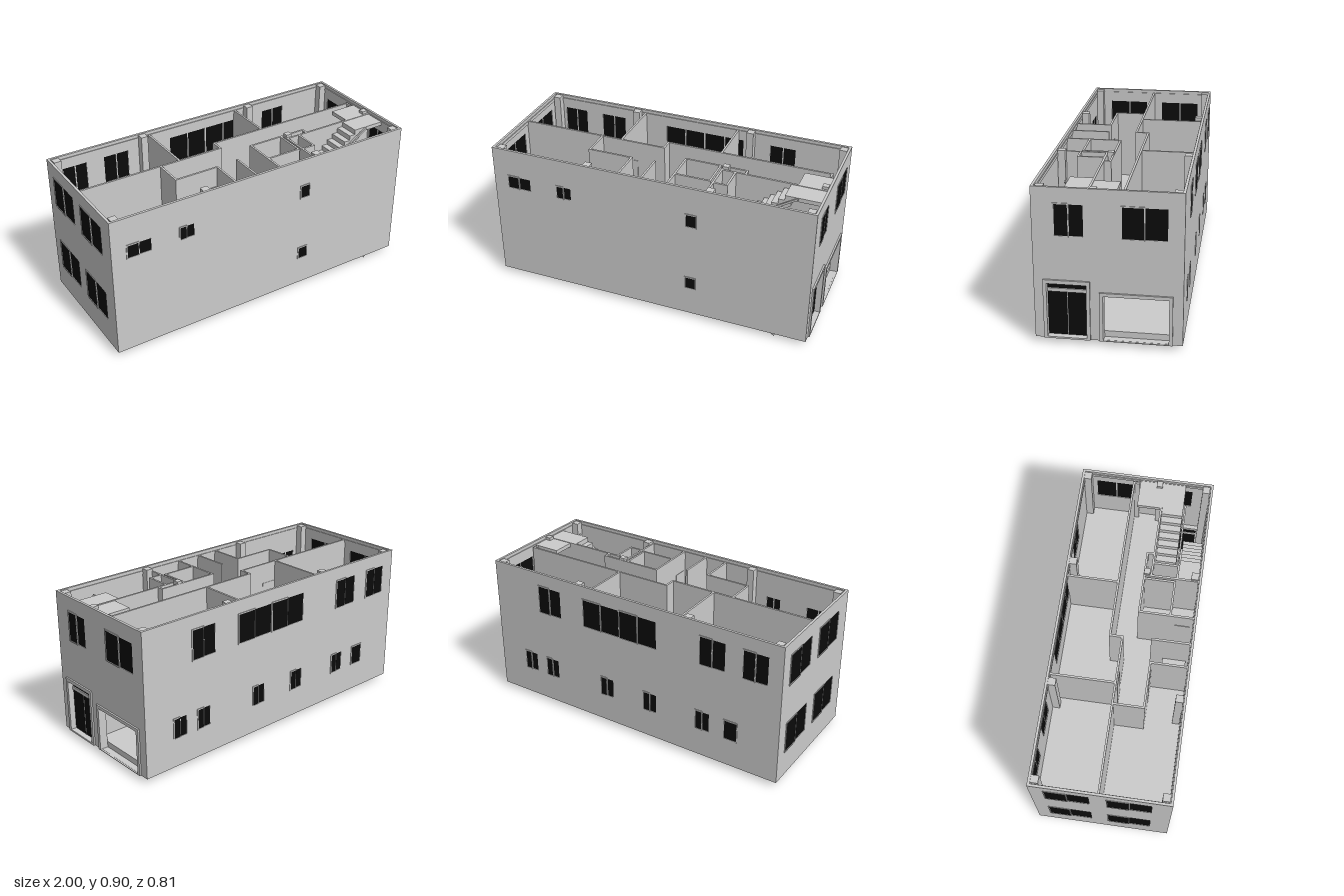
import * as THREE from 'three';

const grey = new THREE.MeshStandardMaterial({ color: 0xcccccc });
const black = new THREE.MeshStandardMaterial({ color: 0x0b0b0b });
const T = 0.015; // outer wall thickness
const BASE = 0.03, TOP = 0.905, FLOOR2 = 0.46;

// box from its minimum and maximum corners
function box(parent, name, x0, x1, y0, y1, z0, z1, mat = grey) {
  const m = new THREE.Mesh(new THREE.BoxGeometry(x1 - x0, y1 - y0, z1 - z0), mat);
  m.position.set((x0 + x1) / 2, (y0 + y1) / 2, (z0 + z1) / 2);
  m.name = name;
  parent.add(m);
  return m;
}

function rect(target, x0, x1, y0, y1) {
  target.moveTo(x0, y0);
  target.lineTo(x1, y0);
  target.lineTo(x1, y1);
  target.lineTo(x0, y1);
  target.closePath();
  return target;
}

// flat panel with rectangular holes, extruded from z0 to z0 + depth
function panel(parent, name, outer, holes, depth, z0) {
  const s = rect(new THREE.Shape(), ...outer);
  holes.forEach(h => s.holes.push(rect(new THREE.Path(), ...h)));
  const m = new THREE.Mesh(new THREE.ExtrudeGeometry(s, { depth, bevelEnabled: false }), grey);
  m.position.z = z0;
  m.name = name;
  parent.add(m);
}

// sliding window: dark panes, with a raised sash on every other one
function windowUnit(parent, [u0, u1, y0, y1, panes = 2]) {
  const g = new THREE.Group();
  g.name = 'window';
  const w = (u1 - u0) / panes, f = 0.007;
  for (let i = 0; i < panes; i++) {
    const a = u0 + i * w, b = a + w, raised = i % 2 === 0;
    const inner = [a + (raised ? f : f / 2), b - f / 2, y0 + f, y1 - f];
    const front = raised ? 0.004 : 0;
    panel(g, 'sash', [a, b, y0, y1], [inner], T + front, -T);
    box(g, 'pane', inner[0], inner[1], inner[2], inner[3], -0.011, front - 0.003, black);
  }
  parent.add(g);
}

// outer wall drawn in its own plane, outside facing local +z
function wall(parent, name, u0, u1, windows, openings, place) {
  const g = new THREE.Group();
  g.name = name;
  panel(g, 'wallPanel', [u0, u1, BASE, TOP], [...windows, ...openings], T, -T);
  windows.forEach(w => windowUnit(g, w));
  g.position.set(place[0], 0, place[1]);
  g.rotation.y = place[2];
  parent.add(g);
  return g;
}

// stepped flight with a sloping underside, climbing from xa to xb
function flight(parent, xa, xb, y0, rise, n, z0, z1) {
  const run = (xb - xa) / n, s = new THREE.Shape();
  s.moveTo(xa, y0);
  for (let i = 0; i < n; i++) {
    s.lineTo(xa + i * run, y0 + (i + 1) * rise);
    s.lineTo(xa + (i + 1) * run, y0 + (i + 1) * rise);
  }
  s.lineTo(xb, y0 + n * rise - rise - 0.03);
  s.lineTo(xa + run * 0.1, y0 - 0.03);
  s.closePath();
  const m = new THREE.Mesh(new THREE.ExtrudeGeometry(s, { depth: z1 - z0, bevelEnabled: false }), grey);
  m.position.z = z0;
  m.name = 'stairFlight';
  parent.add(m);
}

// sloping handrail in the gap between the flights
function rail(parent, xa, ya, xb, yb) {
  const m = new THREE.Mesh(new THREE.BoxGeometry(Math.hypot(xb - xa, yb - ya), 0.012, 0.01), grey);
  m.position.set((xa + xb) / 2, (ya + yb) / 2, 0.252);
  m.rotation.z = Math.atan2(yb - ya, xb - xa);
  m.name = 'handrail';
  parent.add(m);
}

export function createModel() {
  const house = new THREE.Group();
  house.name = 'house';

  // outer walls and their windows: [u0, u1, y0, y1, panes]
  wall(house, 'frontWall', -1, 0.99, [
    [-0.91, -0.755, 0.645, 0.735], [-0.585, -0.485, 0.645, 0.735],
    [0.235, 0.305, 0.645, 0.735, 1], [0.235, 0.305, 0.21, 0.295, 1],
  ], [], [0, 0.405, 0]);

  const backWindows = [[-0.66, -0.49, 0.637, 0.825], [-0.325, 0.198, 0.637, 0.825, 4],
    [0.48, 0.65, 0.637, 0.825], [0.755, 0.915, 0.637, 0.825]];
  for (const u of [-0.8, -0.63, -0.21, 0.1, 0.46]) backWindows.push([u, u + 0.098, 0.203, 0.335]);
  backWindows.push([0.65, 0.74, 0.203, 0.335, 1]);
  wall(house, 'backWall', -0.99, 1, backWindows, [], [0, -0.4, Math.PI]);

  wall(house, 'leftEndWall', -0.385, 0.39, [
    [-0.32, -0.06, 0.63, 0.825], [0.035, 0.295, 0.63, 0.825],
    [-0.32, -0.06, 0.19, 0.39], [0.035, 0.295, 0.19, 0.39],
  ], [], [-1, 0, -Math.PI / 2]).name = 'farEndWall';

  const entry = wall(house, 'entranceWall', -0.39, 0.385,
    [[-0.29, -0.127, 0.63, 0.82], [0.068, 0.316, 0.63, 0.82]],
    [[-0.345, -0.11, 0.035, 0.37], [-0.04, 0.335, 0.035, 0.31]], [0.99, 0, Math.PI / 2]);

  // entrance door and garage surrounds, slightly proud of the wall
  panel(entry, 'doorSurround', [-0.355, -0.1, BASE, 0.38], [[-0.335, -0.12, 0.04, 0.358]], 0.05, -0.04);
  panel(entry, 'garageSurround', [-0.05, 0.345, BASE, 0.32], [[-0.03, 0.325, 0.034, 0.3]], 0.05, -0.04);
  box(entry, 'doorLeaf', -0.335, -0.2285, 0.04, 0.3, -0.035, -0.025, black);
  box(entry, 'doorLeaf', -0.2255, -0.12, 0.04, 0.3, -0.035, -0.025, black);
  box(entry, 'doorMeetingStile', -0.2285, -0.2255, 0.04, 0.3, -0.035, -0.022);
  box(entry, 'doorRail', -0.335, -0.12, 0.3, 0.32, -0.038, -0.018);
  box(entry, 'transomPane', -0.335, -0.12, 0.32, 0.358, -0.035, -0.025, black);

  // ground slab, and upper floor around the stairwell
  box(house, 'groundSlab', -0.999, 0.989, BASE, 0.034, -0.399, 0.404);
  box(house, 'groundFloor', -0.985, 0.95, 0.034, 0.07, -0.385, 0.39);
  box(house, 'upperFloor', -0.985, 0.975, 0.435, FLOOR2, -0.385, 0.105);
  box(house, 'upperFloor', -0.985, 0.43, 0.435, FLOOR2, 0.105, 0.39);

  // columns
  const cols = [[0.953, 0.08], [0.365, 0.08]];
  for (const x of [-0.955, -0.39, 0.37, 0.95]) for (const z of [-0.363, 0.365]) cols.push([x, z]);
  for (const [x, z] of cols) {
    const r = z === 0.08 ? 0.018 : 0.022;
    box(house, 'column', x - r, x + r, 0.07, 0.9, z - r, z + r);
  }

  // perimeter ring beam just below the wall tops
  box(house, 'ringBeam', -0.985, 0.975, 0.865, 0.885, -0.385, -0.38);
  box(house, 'ringBeam', -0.985, 0.975, 0.865, 0.885, 0.385, 0.39);
  box(house, 'ringBeam', -0.985, -0.98, 0.865, 0.885, -0.38, 0.385);
  box(house, 'ringBeam', 0.97, 0.975, 0.865, 0.885, -0.38, 0.385);

  // upper floor partitions: centre lines [xa, za, xb, zb]
  const partitions = [
    [-0.985, -0.007, -0.06, -0.007], [-0.34, -0.385, -0.34, -0.007], [-0.06, -0.08, -0.06, -0.007],
    [-0.06, -0.08, 0.95, -0.08], [0.28, -0.385, 0.28, -0.08], [0.95, -0.08, 0.95, -0.05],
    [-0.465, -0.007, -0.465, 0.173], [-0.465, 0.173, -0.193, 0.173], [-0.193, 0.173, -0.193, 0.39],
    [-0.05, 0.165, -0.05, 0.39], [0.11, 0.066, 0.49, 0.066], [0.11, 0.066, 0.11, 0.39],
    [0.325, 0.066, 0.325, 0.25], [0.11, 0.25, 0.325, 0.25], [0.347, 0.066, 0.347, 0.39],
    [0.49, 0.066, 0.49, 0.107], [0.347, 0.107, 0.975, 0.107], [0.43, 0.107, 0.43, 0.26],
    [0.347, 0.26, 0.43, 0.26],
  ];
  const h = 0.006;
  for (const [xa, za, xb, zb] of partitions)
    box(house, 'partition', xa - h, xb + h, FLOOR2, 0.885, za - h, zb + h);
  box(house, 'washroomCounter', -0.187, -0.056, FLOOR2, 0.6, 0.235, 0.375);

  // interior door leaves
  for (const [x, z] of [[-0.33, -0.007], [-0.3, 0.173]])
    box(house, 'interiorDoor', x, x + 0.1, FLOOR2, 0.76, z - 0.009, z + 0.009);
  box(house, 'interiorDoor', 0.101, 0.119, FLOOR2, 0.76, 0.28, 0.37);

  // ground floor walls enclosing the stairs
  box(house, 'stairWall', 0.347, 0.95, 0.07, 0.435, 0.101, 0.113);
  box(house, 'stairWall', 0.341, 0.353, 0.07, 0.435, 0.107, 0.39);

  // two storeys of half-turn stairs with landings and rails
  const rise = 0.0305;
  for (const y of [BASE, FLOOR2 - 0.005]) {
    const mid = y + 7 * rise;
    flight(house, 0.8, 0.535, y, rise, 7, 0.265, 0.389);
    box(house, 'halfLanding', 0.437, 0.535, mid - 0.025, mid, 0.114, 0.389);
    flight(house, 0.535, 0.8, mid, rise, 7, 0.114, 0.24);
    box(house, 'topLanding', 0.8, 0.974, mid + 6.2 * rise, mid + 7 * rise, -0.04, 0.24);
    rail(house, 0.84, y + 0.06, 0.53, mid + 0.07);
    rail(house, 0.53, mid + 0.02, 0.84, mid + 7 * rise);
  }
  return house;
}
